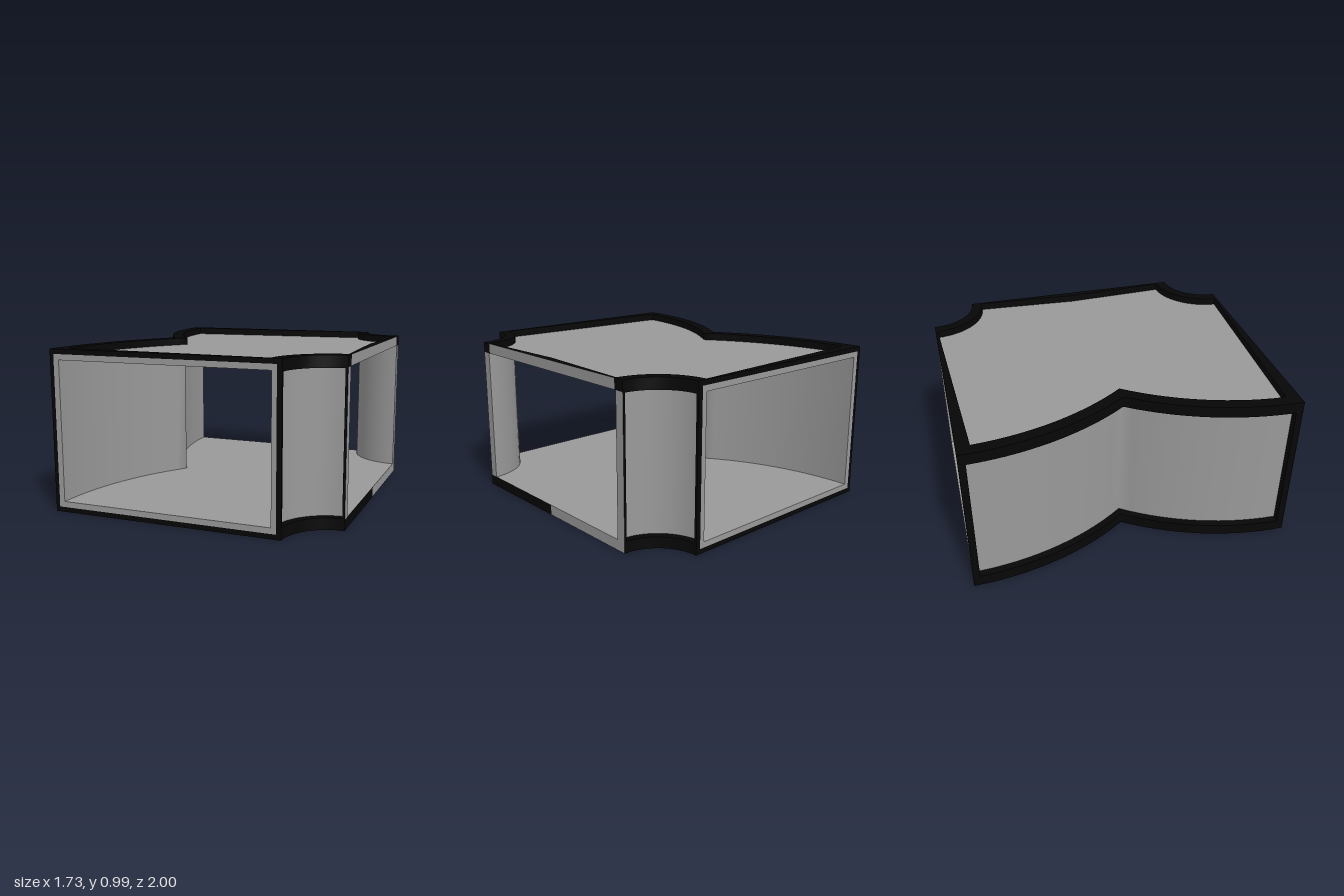
import * as THREE from 'three';
import { toCreasedNormals } from 'three/addons/utils/BufferGeometryUtils.js';

const H = 0.99, SLAB = 0.065, BAND = 0.07, RECESS = 0.045, RIGHT = 0.863;
const grey = new THREE.MeshStandardMaterial({ color: 0x999999, side: THREE.DoubleSide });
const black = new THREE.MeshStandardMaterial({ color: 0x060606, side: THREE.DoubleSide });
const P = (x, z) => new THREE.Vector2(x, z);

// The two kinds of curved wall, as arcs in the front half of the plan
const LEFT = { cx: 0.882, segs: 14, end: r => Math.asin(1 / r) };
const CORNER = { cx: RIGHT, segs: 16, end: () => Math.PI / 2 };

// Points (x, z) along an arc between fractions t0 and t1 of its span
function arc(kind, r, t0, t1) {
  const pts = [];
  for (let i = 0; i <= kind.segs; i++) {
    const a = kind.end(r) * (t0 + (t1 - t0) * i / kind.segs);
    pts.push(P(kind.cx - r * Math.cos(a), 1 - r * Math.sin(a)));
  }
  return pts;
}
const mirror = pts => pts.map(p => P(p.x, -p.y));

// Wall paths in plan, running so that the outside is on one hand; t trims the ends
function leftPath(r, t = 0) {
  const half = arc(LEFT, r, t, 1);
  return [...mirror(half), ...half.reverse().slice(1)];
}
const frontPath = (r, t = 0) => arc(CORNER, r, t, 1 - t);
const backPath = (r, t = 0) => mirror(frontPath(r, t)).reverse();

// Closed plan of the junction
function plan(rLeft, rCorner, tLeft = 0, tCorner = 0, mid = []) {
  return [...leftPath(rLeft, tLeft), ...frontPath(rCorner, tCorner), ...mid, ...backPath(rCorner, tCorner)];
}

function part(name, geometry, material) {
  const mesh = new THREE.Mesh(geometry, material);
  mesh.name = name;
  return mesh;
}

// Upright sheet along a plan path
function sheet(name, pts, y0, y1, material) {
  const geo = new THREE.PlaneGeometry(1, 1, pts.length - 1, 1);
  const pos = geo.attributes.position;
  for (let i = 0; i < pos.count; i++) {
    const p = pts[i % pts.length];
    pos.setXYZ(i, p.x, i < pts.length ? y1 : y0, p.y);
  }
  return part(name, toCreasedNormals(geo, 1.3), material);
}

// Level sheet facing up or down, with an optional hole
function level(name, pts, y, up, material, hole) {
  const turn = list => (up ? mirror(list) : list);
  const shape = new THREE.Shape(turn(pts));
  if (hole) shape.holes.push(new THREE.Path(turn(hole)));
  const geo = new THREE.ShapeGeometry(shape);
  geo.rotateX(up ? -Math.PI / 2 : Math.PI / 2).translate(0, y, 0);
  return part(name, geo, material);
}

// Curved wall: inner face, black bands and posts, and a sunken outer panel
function wall(name, path, rOut, rIn, post) {
  const g = new THREE.Group();
  g.name = name;
  const edge = path(rOut), trimmed = path(rOut, post);
  const sunken = path(rOut + Math.sign(rIn - rOut) * RECESS, post);
  const top = H - BAND;
  g.add(sheet('innerFace', path(rIn).reverse(), SLAB, H - SLAB, grey));
  g.add(sheet('lowerBand', edge, 0, BAND, black));
  g.add(sheet('upperBand', edge, top, H, black));
  g.add(sheet('startPost', [edge[0], trimmed[0], sunken[0]], BAND, top, black));
  g.add(sheet('endPost', [sunken.at(-1), trimmed.at(-1), edge.at(-1)], BAND, top, black));
  g.add(sheet('outerPanel', sunken, BAND, top, grey));
  const ledge = [...trimmed, ...sunken.reverse()];
  g.add(level('lowerLedge', ledge, BAND, true, black));
  g.add(level('upperLedge', ledge, top, false, black));
  return g;
}

// Flat frame around the front or back opening
function frame(name, side, outer, inner, material) {
  const rect = ([x0, x1, inset]) =>
    [P(x0 * side, inset), P(x1 * side, inset), P(x1 * side, H - inset), P(x0 * side, H - inset)];
  const shape = new THREE.Shape(rect(outer));
  shape.holes.push(new THREE.Path(rect(inner)));
  const geo = new THREE.ShapeGeometry(shape).translate(0, 0, 1);
  if (side < 0) geo.rotateY(Math.PI);
  return part(name, geo, material);
}

export function createModel() {
  const model = new THREE.Group();
  model.name = 'ductJunction';

  // Floor and ceiling: black rim around a sunken grey panel, grey lining inside
  const outline = plan(1.745, 0.28);
  const panel = plan(1.67, 0.35, 0.075, 0.027, [P(0.815, 0)]);
  const lining = plan(1.685, 0.34);
  const lip = [...panel, panel[0]].reverse();
  for (const [label, y, up] of [['floor', 0, false], ['ceiling', H, true]]) {
    const sunk = up ? H - RECESS : RECESS;
    model.add(level(label + 'Rim', outline, y, up, black, panel));
    model.add(sheet(label + 'Lip', lip, Math.min(y, sunk), Math.max(y, sunk), black));
    model.add(level(label + 'Panel', panel, sunk, up, grey));
    model.add(level(label + 'Lining', lining, up ? H - SLAB : SLAB, !up, grey));
  }

  model.add(wall('leftWall', leftPath, 1.745, 1.685, 0.04));
  model.add(wall('frontCornerWall', frontPath, 0.28, 0.34, 0.034));
  model.add(wall('backCornerWall', backPath, 0.28, 0.34, 0.034));

  // Front and back openings: black outer frame, grey inner frame
  const edge = [-0.863, 0.583, 0], step = [-0.838, 0.553, 0.03], opening = [-0.803, 0.523, SLAB];
  for (const [label, side] of [['front', 1], ['back', -1]]) {
    model.add(frame(label + 'OuterFrame', side, edge, step, black));
    model.add(frame(label + 'InnerFrame', side, step, opening, grey));
  }

  // Facing around the side opening
  const facing = (name, z0, z1, y0, y1, material) =>
    model.add(sheet(name, [P(RIGHT, z1), P(RIGHT, z0)], y0, y1, material));
  facing('sideLintel', -0.65, 0.65, H - SLAB, H, grey);
  facing('sideSillBack', -0.72, 0, 0, SLAB, grey);
  facing('sideSillFront', 0, 0.72, 0, SLAB, black);
  for (const [z0, z1, zc0, zc1] of [[0.66, 0.72, 0.65, 0.72], [-0.72, -0.66, -0.72, -0.65]]) {
    facing('sideJamb', z0, z1, SLAB, H - SLAB, grey);
    facing('sideCorner', zc0, zc1, H - SLAB, H, black);
  }
  return model;
}
